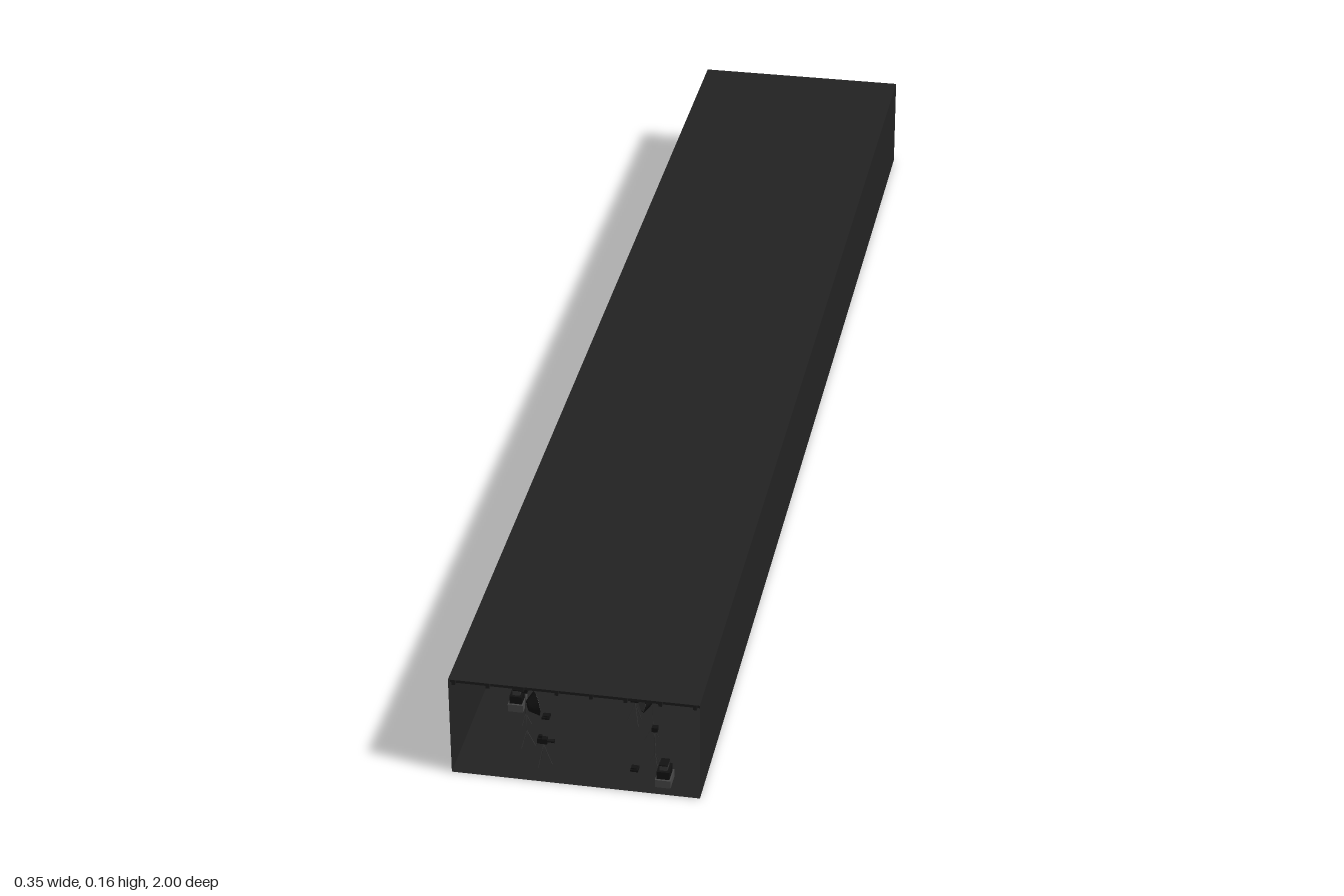
import * as THREE from 'three';

const mat = (name, color, side = THREE.FrontSide) => {
  const m = new THREE.MeshStandardMaterial({ color, side });
  m.name = name;
  return m;
};
const shell = mat('charcoal shell', 0x222222, THREE.DoubleSide);
const beamMat = mat('beam black', 0x1a1a1a);
const black = mat('equipment black', 0x111111);
const grey = mat('case grey', 0x444444);
const metal = mat('stand metal', 0x333333);

function add(parent, name, geo, material, x = 0, y = 0, z = 0) {
  const m = new THREE.Mesh(geo, material);
  m.name = name;
  m.position.set(x, y, z);
  parent.add(m);
  return m;
}
const box = (w, h, d) => new THREE.BoxGeometry(w, h, d);

// thin rod between two points
function rod(parent, name, a, b, r, material) {
  const p = new THREE.Vector3(...a), q = new THREE.Vector3(...b);
  const dir = q.clone().sub(p);
  const m = add(parent, name, new THREE.CylinderGeometry(r, r, dir.length(), 6), material);
  m.position.copy(p).add(q).multiplyScalar(0.5);
  m.quaternion.setFromUnitVectors(new THREE.Vector3(0, 1, 0), dir.normalize());
}

// three splayed legs below a hub
function legs(parent, hubY, spread, r) {
  for (let i = 0; i < 3; i++) {
    const a = (i * 2 * Math.PI) / 3;
    rod(parent, 'leg', [0, hubY, 0], [Math.cos(a) * spread, 0.0005, Math.sin(a) * spread], r, metal);
  }
}

function studioCamera() {
  const g = new THREE.Group();
  g.name = 'studioCamera';
  legs(g, 0.034, 0.012, 0.0006);
  rod(g, 'centreColumn', [0, 0.028, 0], [0, 0.038, 0], 0.001, metal);
  rod(g, 'panHandle', [0, 0.036, 0], [-0.013, 0.032, 0], 0.0005, metal);
  add(g, 'cameraBody', box(0.014, 0.008, 0.008), black, -0.001, 0.041, 0);
  add(g, 'viewfinder', box(0.005, 0.004, 0.004), black, -0.004, 0.047, 0);
  const lens = add(g, 'lens', new THREE.CylinderGeometry(0.003, 0.0025, 0.011, 10), black, 0.0105, 0.041, 0);
  lens.rotation.z = -Math.PI / 2;
  return g;
}

function softbox() {
  const g = new THREE.Group();
  g.name = 'softboxLight';
  legs(g, 0.025, 0.012, 0.0006);
  rod(g, 'pole', [0, 0.018, 0], [0, 0.07, 0], 0.0007, metal);
  // flared hood facing the aisle
  const hood = new THREE.Group();
  hood.name = 'hood';
  hood.position.set(0.009, 0.07, 0);
  hood.rotation.set(0, 0.5, 0.08);
  const shape = new THREE.CylinderGeometry(0.018, 0.008, 0.013, 8);
  const m = add(hood, 'hoodShell', shape, black);
  m.rotation.z = -Math.PI / 2;
  const face = add(hood, 'diffuser', new THREE.CylinderGeometry(0.0165, 0.0165, 0.0006, 8), metal, 0.0068);
  face.rotation.z = -Math.PI / 2;
  g.add(hood);
  return g;
}

function lampStand() {
  const g = new THREE.Group();
  g.name = 'lampStand';
  legs(g, 0.018, 0.008, 0.0005);
  rod(g, 'pole', [0, 0.012, 0], [0, 0.057, 0], 0.0007, metal);
  add(g, 'lampHead', box(0.008, 0.007, 0.008), black, 0, 0.0585, 0);
  return g;
}

function caseStack() {
  const g = new THREE.Group();
  g.name = 'caseStack';
  add(g, 'lowerCase', box(0.022, 0.012, 0.03), grey, 0, 0.006, 0);
  add(g, 'middleCase', box(0.018, 0.012, 0.024), black, 0, 0.018, 0);
  add(g, 'upperCase', box(0.011, 0.008, 0.016), metal, 0, 0.028, 0);
  add(g, 'caseLid', box(0.012, 0.0015, 0.017), black, 0, 0.0325, 0);
  return g;
}

function floorLight() {
  const g = new THREE.Group();
  g.name = 'floorLight';
  add(g, 'floorLightBase', box(0.011, 0.003, 0.012), black, 0, 0.0015, 0);
  add(g, 'floorLightHead', box(0.008, 0.002, 0.008), black, 0.001, 0.004, 0);
  return g;
}

// equipment on the -x side: builder, x, z offset in its bay
const layout = [
  [studioCamera, -0.053, 0.06],
  [softbox, -0.086, 0.02],
  [lampStand, -0.099, -0.03],
  [caseStack, -0.12, -0.07],
  [floorLight, -0.074, -0.05],
];

export function createModel() {
  const model = new THREE.Group();
  model.name = 'studioHall';
  const W = 0.35, H = 0.155, L = 2;

  // open-ended hall
  const floor = add(model, 'floor', new THREE.PlaneGeometry(W, L), shell);
  floor.rotation.x = -Math.PI / 2;
  const ceiling = add(model, 'ceiling', new THREE.PlaneGeometry(W, L), shell, 0, H, 0);
  ceiling.rotation.x = -Math.PI / 2;
  for (const s of [-1, 1]) {
    const wall = add(model, 'wall', new THREE.PlaneGeometry(L, H), shell, s * W / 2, H / 2, 0);
    wall.rotation.y = s * Math.PI / 2;
  }

  // ceiling grid
  const grid = new THREE.Group();
  grid.name = 'ceilingGrid';
  const longGeo = box(0.005, 0.008, L - 0.002), crossGeo = box(W - 0.002, 0.009, 0.005);
  for (let i = 0; i < 8; i++) add(grid, 'longBeam', longGeo, beamMat, -0.168 + i * 0.048, 0.15, 0);
  for (let i = 0; i < 41; i++) add(grid, 'crossBeam', crossGeo, beamMat, 0, 0.15, -0.99 + i * 0.0495);
  model.add(grid);

  // repeated equipment bays, turned half round for the other side
  for (let bay = 0; bay < 10; bay++) {
    for (const s of [-1, 1]) {
      const side = new THREE.Group();
      side.name = s < 0 ? 'rightBay' : 'leftBay';
      for (const [build, x, z] of layout) {
        const item = build();
        item.position.set(x, 0, z);
        side.add(item);
      }
      side.position.z = -0.9 + bay * 0.2;
      if (s > 0) side.rotation.y = Math.PI;
      model.add(side);
    }
  }
  return model;
}
